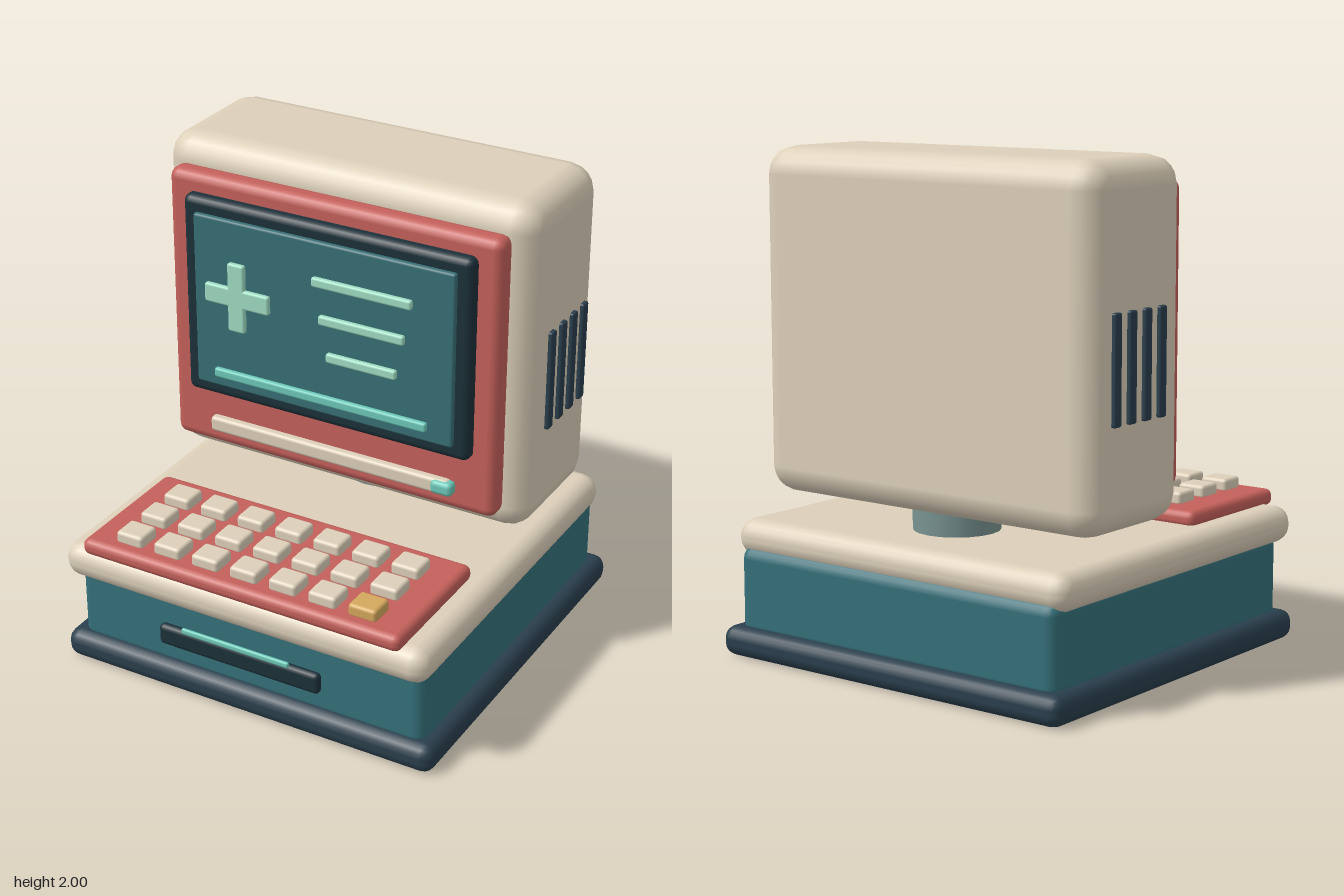
import * as THREE from 'three';
import { RoundedBoxGeometry } from 'three/addons/geometries/RoundedBoxGeometry.js';

const mat = (color) => new THREE.MeshStandardMaterial({ color });

export function createModel() {
  const model = new THREE.Group();
  const cream = mat(0xddd0ba), red = mat(0xc4605a), teal = mat(0x35707a), glass = mat(0x386f75);
  const navy = mat(0x2a3f4d), dark = mat(0x1c3039), mint = mat(0x9fdcc2), aqua = mat(0x6cc9b8);
  const gold = mat(0xd4a85c), steel = mat(0x789391);

  // Rounded box given by its extents along each axis
  const box = (name, material, [x0, x1], [y0, y1], [z0, z1], radius, parent = model) => {
    const mesh = new THREE.Mesh(
      new RoundedBoxGeometry(x1 - x0, y1 - y0, z1 - z0, 2, radius), material);
    mesh.position.set((x0 + x1) / 2, (y0 + y1) / 2, (z0 + z1) / 2);
    mesh.name = name;
    parent.add(mesh);
    return mesh;
  };
  const group = (name) => {
    const g = new THREE.Group();
    g.name = name;
    model.add(g);
    return g;
  };

  // Base unit
  box('foot', navy, [-0.83, 0.83], [0, 0.12], [-0.83, 0.79], 0.05);
  box('baseBody', teal, [-0.775, 0.775], [0.08, 0.44], [-0.775, 0.74], 0.05);
  box('deck', cream, [-0.81, 0.81], [0.395, 0.545], [-0.765, 0.81], 0.07);
  box('driveSlot', dark, [-0.36, 0.36], [0.225, 0.315], [0.77, 0.81], 0.02);
  box('driveStrip', aqua, [-0.24, 0.24], [0.32, 0.345], [0.813, 0.83], 0.008);

  // Keyboard with three rows of seven keys, the front one on the right in gold
  const keyboard = group('keyboard');
  box('keyboardTray', red, [-0.705, 0.705], [0.53, 0.6], [0.215, 0.815], 0.03, keyboard);
  [0.372, 0.537, 0.702].forEach((z, row) => {
    for (let col = 0; col < 7; col++) {
      const x = (col - 3) * 0.1725;
      const accent = row === 2 && col === 6;
      box(accent ? 'accentKey' : 'key', accent ? gold : cream,
        [x - 0.06, x + 0.06], [0.59, 0.645], [z - 0.055, z + 0.055], 0.015, keyboard);
    }
  });

  // Neck
  const neck = new THREE.Mesh(new THREE.CylinderGeometry(0.172, 0.172, 0.16, 20), steel);
  neck.position.set(0, 0.59, -0.363);
  neck.name = 'neck';
  model.add(neck);

  // Monitor
  box('monitorCase', cream, [-0.81, 0.81], [0.625, 2], [-0.595, 0], 0.11);
  box('bezel', red, [-0.725, 0.725], [0.73, 1.9], [-0.01, 0.093], 0.04);
  box('screenFrame', dark, [-0.63, 0.63], [0.98, 1.825], [0.06, 0.14], 0.03);
  box('screen', glass, [-0.57, 0.57], [1.04, 1.765], [0.11, 0.16], 0.01);

  // Raised marks on the screen
  const marks = group('screenMarks');
  const zMark = [0.16, 0.186];
  box('crossBar', mint, [-0.51, -0.22], [1.415, 1.495], zMark, 0.01, marks);
  box('crossPost', mint, [-0.405, -0.33], [1.31, 1.6], zMark, 0.01, marks);
  [[-0.03, 0.4, 1.607], [0, 0.37, 1.453], [0.033, 0.338, 1.3]].forEach(([x0, x1, y]) =>
    box('textLine', mint, [x0, x1], [y - 0.02, y + 0.02], zMark, 0.01, marks));
  box('statusLine', aqua, [-0.475, 0.47], [1.09, 1.13], zMark, 0.01, marks);

  // Strip and lamp below the screen
  box('frontStrip', cream, [-0.54, 0.54], [0.8, 0.865], [0.07, 0.125], 0.015);
  box('lamp', aqua, [0.465, 0.56], [0.803, 0.862], [0.08, 0.137], 0.02);

  // Vents on both sides
  const vents = group('vents');
  for (const side of [-1, 1]) {
    for (let i = 0; i < 4; i++) {
      const z = -0.175 - i * 0.095;
      const x = side * 0.81;
      box('vent', navy, [x - 0.017, x + 0.017], [1.04, 1.455], [z - 0.022, z + 0.022], 0.008, vents);
    }
  }

  return model;
}
